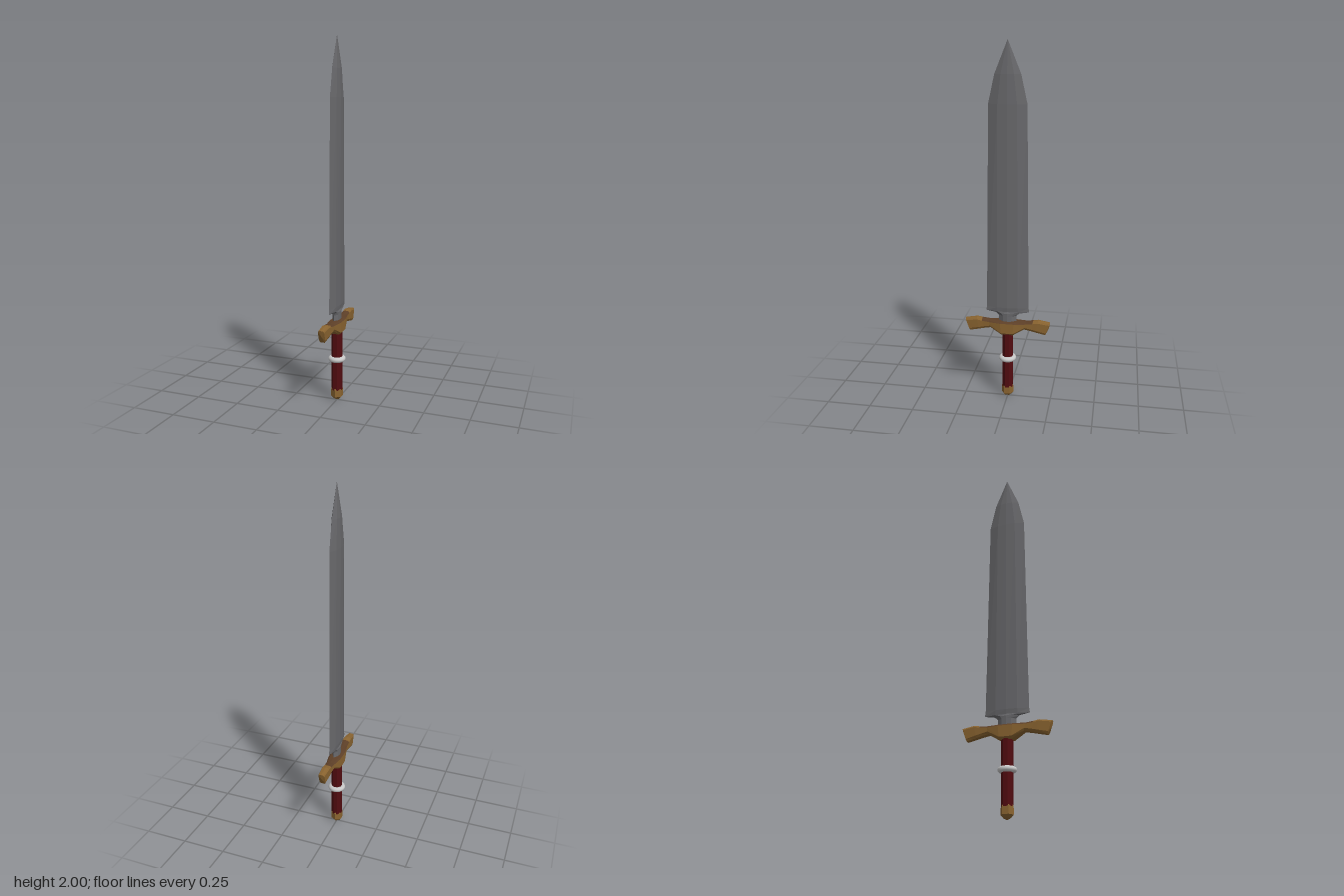
import * as THREE from 'three';

const flat = (name, color) => {
  const m = new THREE.MeshStandardMaterial({ color });
  m.name = name;
  return m;
};

// Skins a list of equal-length point rings (counter-clockwise seen from the end) and caps both ends.
// pick(segment, side) chooses the material index of each side face.
function loft(rings, bulge = new THREE.Vector3(), pick = () => 0) {
  const faces = [[], []];
  const n = rings[0].length;
  const centre = (r) => r.reduce((s, p) => s.add(p), new THREE.Vector3()).divideScalar(n);
  const first = rings[0], last = rings[rings.length - 1];
  const c0 = centre(first).sub(bulge), c1 = centre(last).add(bulge);
  for (let i = 0; i < n; i++) {
    const j = (i + 1) % n;
    for (let k = 0; k < rings.length - 1; k++) {
      const a = rings[k], b = rings[k + 1];
      faces[pick(k, i)].push(a[i], a[j], b[j], a[i], b[j], b[i]);
    }
    faces[0].push(c0, first[j], first[i], c1, last[i], last[j]);
  }
  const geo = new THREE.BufferGeometry().setFromPoints([...faces[0], ...faces[1]]);
  geo.addGroup(0, faces[0].length, 0);
  if (faces[1].length) geo.addGroup(faces[0].length, faces[1].length, 1);
  geo.computeVertexNormals();
  return geo;
}

export function createModel() {
  const steel = flat('steel', 0x69696c);
  const bronze = flat('bronze', 0x8a6430);
  const darkBronze = flat('dark bronze', 0x5e4028);
  const leather = flat('red leather', 0x520c10);
  const silver = flat('silver', 0xc9c9c9);

  const group = new THREE.Group();
  const add = (name, geo, mat, y = 0) => {
    const mesh = new THREE.Mesh(geo, mat);
    mesh.name = name;
    mesh.position.y = y;
    group.add(mesh);
    return mesh;
  };

  // Blade: lens-shaped sections [y, half width, half thickness]
  const blade = [
    [0.46, 0.05, 0.02], [0.505, 0.05, 0.02], [0.52, 0.065, 0.02], [0.53, 0.122, 0.016],
    [0.555, 0.118, 0.019], [1.68, 0.103, 0.022], [1.83, 0.07, 0.018], [2.0, 0.0005, 0.0005],
  ].map(([y, h, t]) => [
    [t, 0], [0.8 * t, -0.5 * h], [0, -h], [-0.8 * t, -0.5 * h],
    [-t, 0], [-0.8 * t, 0.5 * h], [0, h], [0.8 * t, 0.5 * h],
  ].map(([x, z]) => new THREE.Vector3(x, y, z)));
  add('blade', loft(blade), [steel]);

  // Crossguard: chamfered sections [z at top, top, z at bottom, bottom, half thickness], mirrored in z
  const half = [
    [0.04, 0.475, 0.032, 0.395, 0.036], [0.105, 0.475, 0.095, 0.432, 0.024],
    [0.145, 0.48, 0.135, 0.424, 0.022], [0.175, 0.485, 0.16, 0.418, 0.022],
    [0.24, 0.475, 0.215, 0.405, 0.018],
  ];
  const mirrored = half.map(([a, t, b, u, w]) => [-a, t, -b, u, w]).reverse();
  const guard = [...mirrored, ...half].map(([zt, t, zb, b, w]) => [
    [w, b + 0.012], [w, t - 0.01], [0.75 * w, t - 0.002], [0, t],
    [-0.75 * w, t - 0.002], [-w, t - 0.01], [-w, b + 0.012], [-0.7 * w, b], [0.7 * w, b],
  ].map(([x, y]) => new THREE.Vector3(x, y, zb + (zt - zb) * (y - b) / (t - b))));
  const darkTop = (k, i) => (k >= 2 && k <= 6 && i >= 1 && i <= 4 ? 1 : 0);
  add('crossguard', loft(guard, new THREE.Vector3(0, 0, 0.006), darkTop), [bronze, darkBronze]);

  // Grip
  const grip = new THREE.CylinderGeometry(0.031, 0.031, 0.34, 8).toNonIndexed();
  grip.rotateY(Math.PI / 8);
  grip.computeVertexNormals();
  add('grip', grip, leather, 0.235);

  // Ring around the grip
  const ring = new THREE.TorusGeometry(0.034, 0.015, 10, 24);
  ring.rotateX(Math.PI / 2);
  add('gripRing', ring, silver, 0.245);

  // Pommel: six-sided cap with a pointed base
  const profile = [[0.0001, 0.002], [0.02, 0.012], [0.034, 0.027], [0.033, 0.068], [0.028, 0.077], [0.0001, 0.077]];
  const pommel = new THREE.LatheGeometry(profile.map(([r, y]) => new THREE.Vector2(r, y)), 6).toNonIndexed();
  pommel.computeVertexNormals();
  add('pommel', pommel, bronze);

  return group;
}
